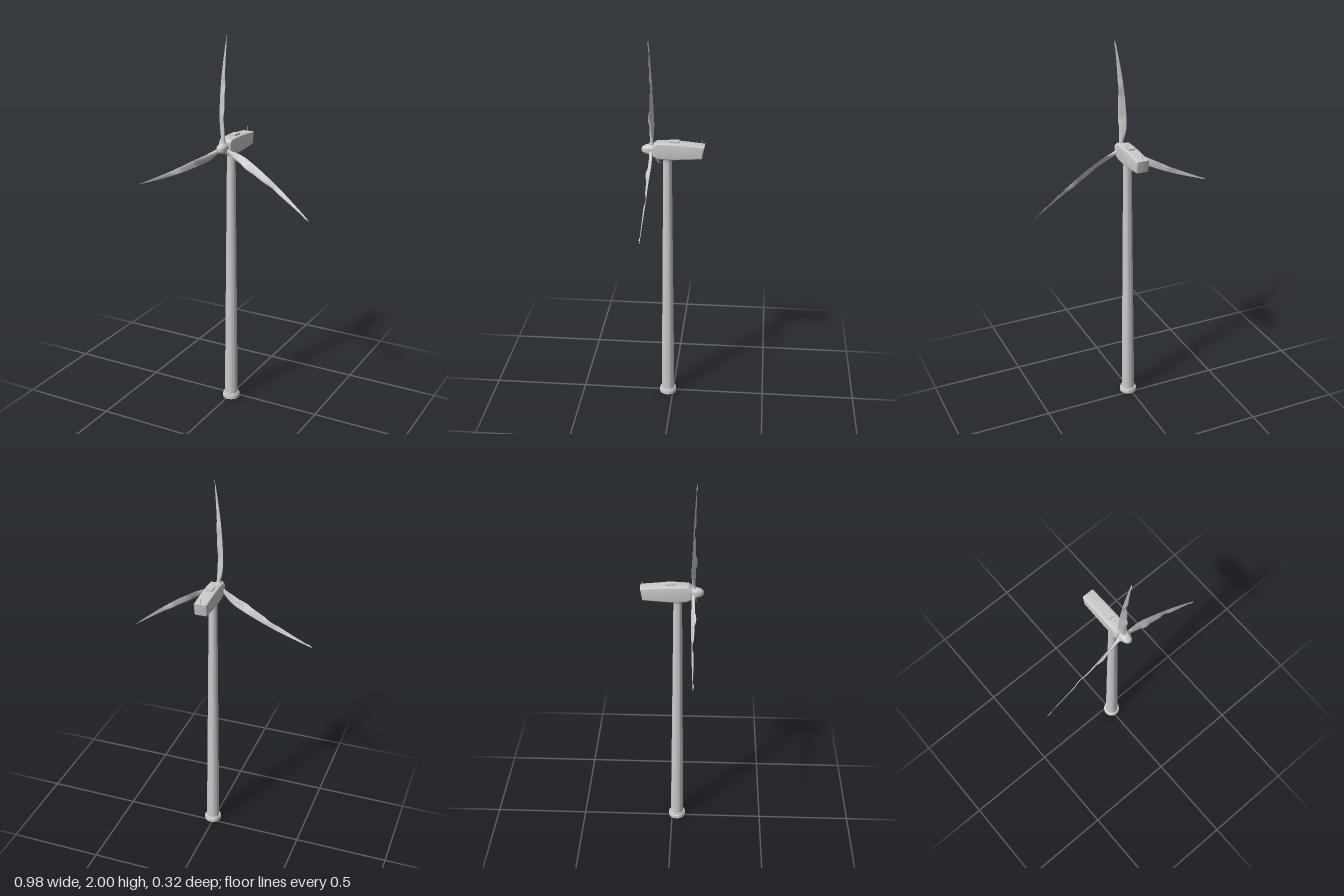
import * as THREE from 'three';
import { toCreasedNormals } from 'three/addons/utils/BufferGeometryUtils.js';

const CX = 0.009;      // tower and nacelle axis
const TOWER_Z = 0.028;
const HUB_Y = 1.434;
const HUB_Z = 0.108;

const grey = new THREE.MeshStandardMaterial({ color: 0xcccccc, side: THREE.DoubleSide });

function add(parent, name, geometry, x = 0, y = 0, z = 0) {
  const mesh = new THREE.Mesh(geometry, grey);
  mesh.name = name;
  mesh.position.set(x, y, z);
  parent.add(mesh);
  return mesh;
}

function lathe(points, segments = 40) {
  const g = new THREE.LatheGeometry(points.map(p => new THREE.Vector2(p[0], p[1])), segments);
  return toCreasedNormals(g, 0.6);
}

// Twisted blade lofted from airfoil sections: round root, wide shoulder, slender tip
function bladeGeometry() {
  // radius, trailing x, leading x, trailing z, leading z, thickness, airfoil taper
  const stations = [
    [0.010, -0.011, 0.009, -0.001, 0.001, 0.020, 0],
    [0.035, -0.013, 0.008, -0.002, 0.002, 0.020, 0],
    [0.060, -0.020, 0.006, -0.006, 0.005, 0.018, 0.4],
    [0.090, -0.028, 0.004, -0.010, 0.008, 0.014, 0.8],
    [0.125, -0.033, 0.002, -0.011, 0.009, 0.011, 1],
    [0.200, -0.035, 0.001, -0.008, 0.009, 0.008, 1],
    [0.280, -0.033, -0.002, -0.005, 0.008, 0.007, 1],
    [0.360, -0.028, -0.004, -0.002, 0.008, 0.006, 1],
    [0.460, -0.017, -0.003, 0.003, 0.009, 0.004, 1],
    [0.530, -0.008, -0.001, 0.007, 0.010, 0.003, 1],
    [0.567, -0.002, 0.001, 0.009, 0.010, 0.001, 1],
  ];
  const curve = stations[0].map((_, i) => new THREE.CatmullRomCurve3(
    stations.map(s => new THREE.Vector3(s[i], 0, 0))));
  const rows = 40, sides = 20, pos = [], idx = [];
  for (let i = 0; i <= rows; i++) {
    const [r, xt, xl, zt, zl, thick, taper] = curve.map(c => c.getPoint(i / rows).x);
    const chord = Math.hypot(xl - xt, zl - zt);
    const nx = -(zl - zt) / chord, nz = (xl - xt) / chord;
    for (let j = 0; j < sides; j++) {
      const a = (j / sides) * Math.PI * 2;
      const u = (1 + Math.cos(a)) / 2;
      const h = Math.sin(a) * thick / 2 * (1 - taper * 0.8 * (1 - u));
      pos.push(xt + (xl - xt) * u + nx * h, r, zt + (zl - zt) * u + nz * h);
      if (i < rows) {
        const k = i * sides, n = (j + 1) % sides;
        idx.push(k + j, k + n, k + sides + j, k + n, k + sides + n, k + sides + j);
      }
    }
  }
  // tip cap
  const top = rows * sides;
  for (let j = 1; j < sides - 1; j++) idx.push(top, top + j + 1, top + j);
  // wind every face outward
  for (let t = 0; t < idx.length; t += 3) [idx[t + 1], idx[t + 2]] = [idx[t + 2], idx[t + 1]];
  const g = new THREE.BufferGeometry();
  g.setAttribute('position', new THREE.Float32BufferAttribute(pos, 3));
  g.setIndex(idx);
  g.computeVertexNormals();
  return g;
}

export function createModel() {
  const model = new THREE.Group();
  model.name = 'windTurbine';

  // Tapered tower, hollow at the foot
  const tower = new THREE.Group();
  tower.name = 'tower';
  tower.position.set(CX, 0, TOWER_Z);
  model.add(tower);
  add(tower, 'towerShaft', lathe([[0.035, 0.015], [0.0345, 0.1], [0.022, 1.395]]));
  add(tower, 'baseFlange', lathe([
    [0.031, 0.03], [0.031, 0], [0.046, 0], [0.046, 0.018], [0.042, 0.02], [0.041, 0.026], [0.035, 0.028],
  ]));
  add(tower, 'yawRing', lathe([[0.021, 1.375], [0.024, 1.38], [0.024, 1.398], [0, 1.398]]));

  // Ring of foundation bolts
  const bolt = new THREE.CylinderGeometry(0.0013, 0.0013, 0.008, 6);
  for (let i = 0; i < 24; i++) {
    const a = (i / 24) * Math.PI * 2;
    add(tower, 'baseBolt', bolt, 0.0405 * Math.cos(a), 0.024, 0.0405 * Math.sin(a));
  }

  // Nacelle: side profile (z, y) extruded across with softened edges
  const profile = new THREE.Shape([
    [0.098, 1.405], [0.098, 1.462], [0.083, 1.474], [0.03, 1.477], [-0.05, 1.474], [-0.161, 1.463],
    [-0.149, 1.399], [-0.06, 1.392], [0.0, 1.389], [0.07, 1.391],
  ].map(p => new THREE.Vector2(...p)));
  const bevel = 0.007, width = 0.068;
  const body = new THREE.ExtrudeGeometry(profile, {
    depth: width - 2 * bevel, bevelThickness: bevel, bevelSize: bevel, bevelOffset: -bevel, bevelSegments: 4,
  });
  body.translate(0, 0, -(width / 2 - bevel));
  body.rotateY(-Math.PI / 2);
  const nacelle = new THREE.Group();
  nacelle.name = 'nacelle';
  nacelle.position.x = CX;
  model.add(nacelle);
  add(nacelle, 'nacelleBody', toCreasedNormals(body, 0.5));

  // Roof hatch, beacon and wind sensors
  add(nacelle, 'roofHatch', new THREE.BoxGeometry(0.034, 0.012, 0.05), 0, 1.478, -0.007);
  add(nacelle, 'roofBeacon', new THREE.CylinderGeometry(0.003, 0.003, 0.008, 12), 0.002, 1.479, 0.04);
  add(nacelle, 'sensorMast', new THREE.CylinderGeometry(0.001, 0.001, 0.026, 8), 0.002, 1.475, -0.15);
  add(nacelle, 'sensorHead', new THREE.BoxGeometry(0.007, 0.002, 0.002), 0.002, 1.487, -0.15);

  // Rotor: spinner, neck and three blades
  const rotor = new THREE.Group();
  rotor.name = 'rotor';
  rotor.position.set(CX - 0.001, HUB_Y, HUB_Z);
  rotor.rotation.z = -THREE.MathUtils.degToRad(2.7);
  model.add(rotor);
  const spinner = lathe([
    [0, -0.019], [0.021, -0.019], [0.026, -0.014], [0.029, -0.004], [0.0285, 0.01],
    [0.0265, 0.022], [0.023, 0.033], [0.0175, 0.043], [0.010, 0.050], [0.004, 0.0525], [0, 0.053],
  ]);
  spinner.rotateX(Math.PI / 2);
  add(rotor, 'spinner', spinner);
  const neck = new THREE.CylinderGeometry(0.021, 0.024, 0.02, 32);
  neck.rotateX(Math.PI / 2);
  add(rotor, 'hubNeck', neck, 0, 0, -0.018);

  const bladeShape = bladeGeometry();
  const collar = new THREE.CylinderGeometry(0.0125, 0.0135, 0.012, 24);
  for (let i = 0; i < 3; i++) {
    const arm = new THREE.Group();
    arm.name = 'bladeArm';
    arm.rotation.z = i * Math.PI * 2 / 3;
    add(arm, 'blade', bladeShape);
    add(arm, 'bladeCollar', collar, -0.002, 0.028, 0);
    rotor.add(arm);
  }
  return model;
}
